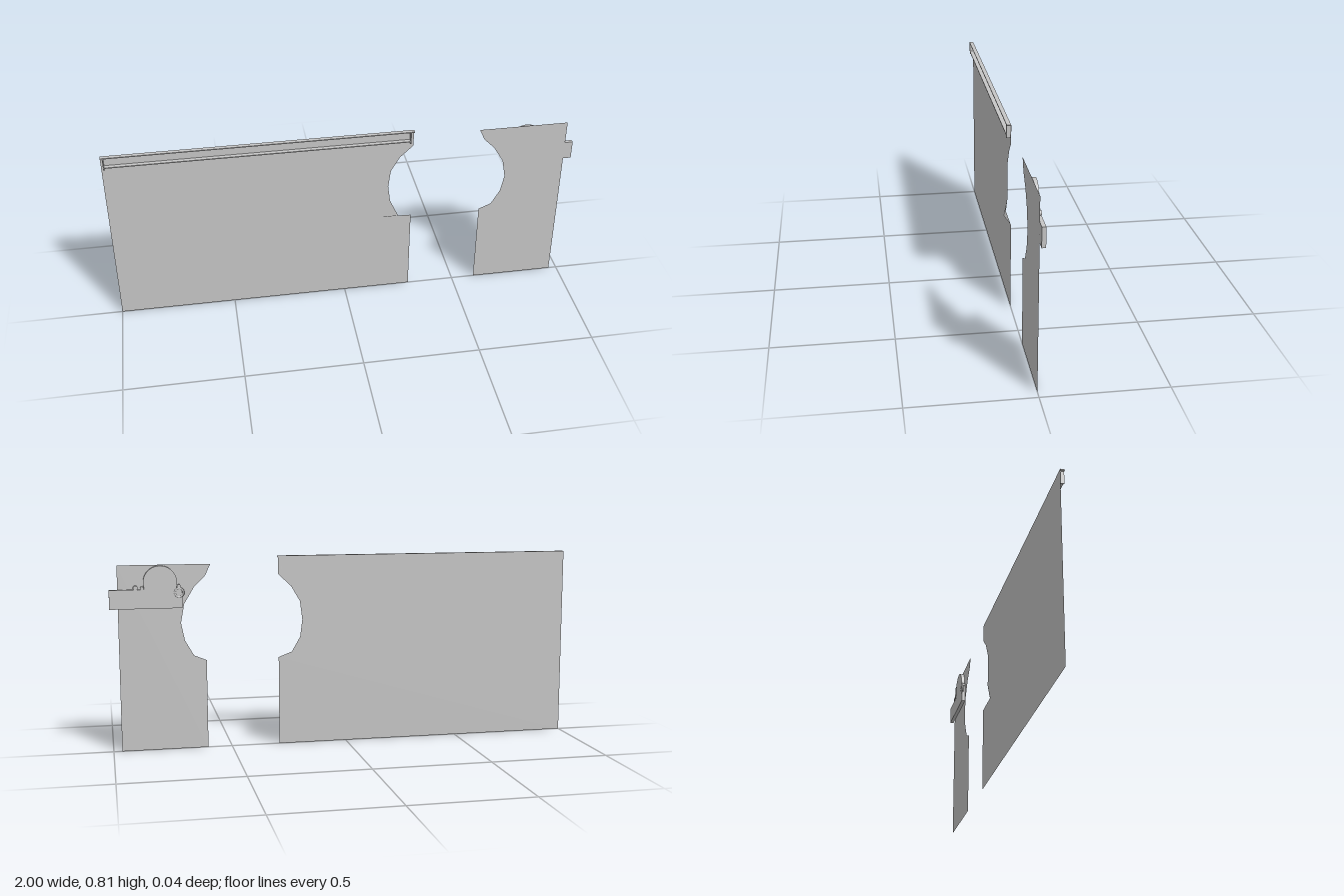
import * as THREE from 'three';

export function createModel() {
  const model = new THREE.Group();
  const grey = new THREE.MeshStandardMaterial({ color: 0xc6c6c6, side: THREE.DoubleSide });
  grey.name = 'light grey';

  const add = (name, geometry, x = 0, y = 0, z = 0, parent = model) => {
    const mesh = new THREE.Mesh(geometry, grey);
    mesh.name = name;
    mesh.position.set(x, y, z);
    parent.add(mesh);
    return mesh;
  };
  const outline = (points) => new THREE.Shape(points.map(([x, y]) => new THREE.Vector2(x, y)));
  const box = (w, h, d) => new THREE.BoxGeometry(w, h, d);

  // Wide sheet with a scalloped edge
  const foldTop = [0.2, 0.465], foldLeft = [0.15, 0.38], foldRight = [0.294, 0.38];
  add('widePanel', new THREE.ShapeGeometry(outline([
    [-1, 0], [0.294, 0], foldRight, foldLeft, foldTop, [0.19, 0.54], [0.2, 0.62],
    [0.238, 0.685], [0.294, 0.738], [0.294, 0.815], [-1, 0.815],
  ])));

  // Lower corner of the scallop, bent forward but shaded smoothly with the sheet
  const tip = [0.233, 0.398, 0.022];
  const fold = new THREE.BufferGeometry();
  fold.setAttribute('position', new THREE.Float32BufferAttribute([
    ...foldTop, 0, ...foldLeft, 0, ...tip, ...foldRight, 0,
  ], 3));
  fold.setAttribute('normal', new THREE.Float32BufferAttribute([0, 0, 1, 0, 0, 1, 0, 0, 1, 0, 0, 1], 3));
  fold.setIndex([0, 1, 2, 1, 3, 2]);
  add('bentCorner', fold);

  // Shallow open rail along the top of the wide sheet: cap, ledge and end walls
  const rail = new THREE.Group();
  rail.name = 'topRail';
  model.add(rail);
  add('railCap', box(1.294, 0.004, 0.018), -0.353, 0.813, 0.009, rail);
  add('railLedge', box(1.27, 0.004, 0.018), -0.355, 0.768, 0.009, rail);
  for (const x of [-0.989, 0.279]) add('railEnd', box(0.004, 0.056, 0.018), x, 0.785, 0.009, rail);

  // Narrow sheet with the facing scallop
  add('narrowPanel', new THREE.ShapeGeometry(outline([
    [0.602, 0], [0.965, 0], [0.965, 0.786], [0.58, 0.786], [0.602, 0.738], [0.65, 0.69],
    [0.692, 0.62], [0.707, 0.54], [0.692, 0.465], [0.655, 0.4], [0.602, 0.378],
  ])));

  // Latch bar with a round tab, mounted behind the narrow sheet
  const latch = new THREE.Group();
  latch.name = 'latch';
  model.add(latch);
  add('latchBar', box(0.3, 0.08, 0.016), 0.85, 0.645, -0.009, latch);
  const tab = new THREE.Shape();
  tab.moveTo(0.722, 0.68);
  tab.lineTo(0.858, 0.68);
  tab.absarc(0.79, 0.713, 0.07, -0.3, Math.PI + 0.3, false);
  add('roundTab', new THREE.ExtrudeGeometry(tab, { depth: 0.016, bevelEnabled: false, curveSegments: 16 }),
    0, 0, -0.017, latch);

  // Pull ring and small pivots
  add('pullRing', new THREE.TorusGeometry(0.018, 0.005, 6, 16), 0.713, 0.67, -0.014, latch);
  for (const [x, y, r] of [[0.713, 0.695, 0.009], [0.865, 0.69, 0.008], [0.892, 0.692, 0.01]]) {
    const pin = new THREE.CylinderGeometry(r, r, 0.017, 12).rotateX(Math.PI / 2);
    add('pivotPin', pin, x, y, -0.0095, latch);
  }
  return model;
}
